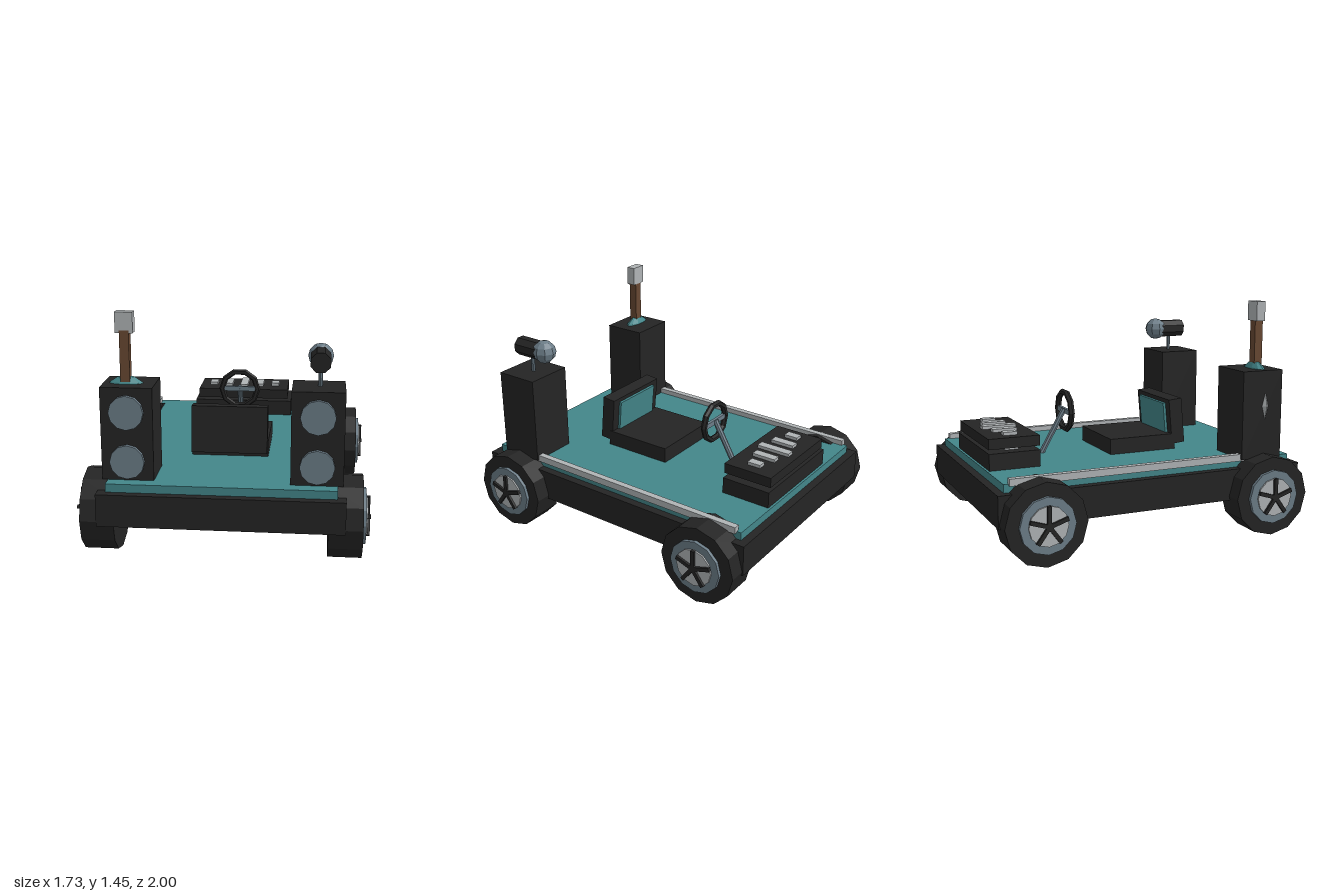
import * as THREE from 'three';

const mat = (name, color) => {
  const m = new THREE.MeshStandardMaterial({ color });
  m.name = name;
  return m;
};

export function createModel() {
  const black = mat('black', 0x242424);
  const teal = mat('teal', 0x43868a);
  const steel = mat('blue grey', 0x6c7d88);
  const silver = mat('light grey', 0xb0b4b6);
  const brown = mat('brown', 0x684832);

  const model = new THREE.Group();
  model.name = 'musicCart';

  // Adds a faceted mesh
  function add(name, geo, material, x, y, z, parent = model) {
    const g = geo.index ? geo.toNonIndexed() : geo;
    g.computeVertexNormals();
    const m = new THREE.Mesh(g, material);
    m.name = name;
    m.position.set(x, y, z);
    parent.add(m);
    return m;
  }
  // Box given by its limits on each axis
  function box(name, material, [x0, x1], [y0, y1], [z0, z1], parent) {
    return add(name, new THREE.BoxGeometry(x1 - x0, y1 - y0, z1 - z0), material,
      (x0 + x1) / 2, (y0 + y1) / 2, (z0 + z1) / 2, parent);
  }
  function group(name, x, y, z) {
    const g = new THREE.Group();
    g.name = name;
    g.position.set(x, y, z);
    model.add(g);
    return g;
  }

  // Chassis, deck and side rails
  box('chassis', black, [-0.72, 0.72], [0.225, 0.42], [-1, 1]);
  box('deck', teal, [-0.67, 0.67], [0.42, 0.47], [-0.95, 0.95]);
  for (const s of [-1, 1]) {
    const rail = box('sideRail', silver, [-0.02, 0.02], [0.46, 0.503], [-0.92, 0.65]);
    rail.position.x = s * 0.67;
  }

  // Wheels: axis along x, outer face towards +x before turning
  for (const s of [-1, 1]) for (const z of [-0.745, 0.745]) {
    const wheel = group('wheel', s * 0.72, 0.25, z);
    if (s < 0) wheel.rotation.y = Math.PI;
    const disc = (name, r, x0, x1, material) =>
      add(name, new THREE.CylinderGeometry(r, r, x1 - x0, 12).rotateZ(-Math.PI / 2),
        material, (x0 + x1) / 2, 0, 0, wheel);
    disc('tyre', 0.25, -0.1, 0.1, black);
    disc('rim', 0.17, 0.09, 0.12, steel);
    disc('hubPlate', 0.12, 0.11, 0.13, silver);
    disc('hubCap', 0.025, 0.12, 0.145, black);
    for (let i = 0; i < 5; i++) {
      const spoke = new THREE.BoxGeometry(0.02, 0.12, 0.024).translate(0, 0.06, 0);
      add('spoke', spoke, black, 0.135, 0, 0, wheel).rotation.x = i * Math.PI * 2 / 5;
    }
  }

  // Speaker towers with two cones each
  for (const s of [-1, 1]) {
    const tower = group('speaker', s * 0.55, 0, 0);
    box('cabinet', black, [-0.153, 0.153], [0.47, 1.025], [0.59, 0.87], tower);
    for (const y of [0.585, 0.88])
      add('speakerCone', new THREE.CylinderGeometry(0.102, 0.102, 0.025, 12).rotateX(Math.PI / 2),
        steel, 0, y, 0.882, tower);
  }

  // Guitar standing in the right speaker
  const guitar = group('guitar', -0.568, 0, 0.75);
  add('lowerBody', new THREE.SphereGeometry(0.158, 8, 6).scale(1, 1, 0.4), silver, 0, 0.8, 0, guitar);
  add('upperBody', new THREE.SphereGeometry(0.135, 10, 8).scale(1, 1, 0.42), teal, 0, 0.937, 0, guitar);
  box('neck', brown, [-0.028, 0.028], [0.95, 1.34], [-0.02, 0.035], guitar);
  box('head', silver, [-0.052, 0.052], [1.325, 1.447], [-0.025, 0.035], guitar);

  // Microphone on the left speaker
  const mic = group('microphone', 0.557, 1.18, 0);
  add('micStand', new THREE.CylinderGeometry(0.013, 0.013, 0.16, 8), steel, 0, -0.09, 0.717, mic);
  add('micBody', new THREE.CylinderGeometry(0.062, 0.062, 0.215, 8)
    .rotateY(Math.PI / 8).rotateX(Math.PI / 2), black, 0, 0, 0.708, mic);
  add('micHead', new THREE.SphereGeometry(0.075, 8, 6), steel, 0, 0, 0.61, mic);

  // Seat facing the back of the cart
  box('seatBase', black, [-0.24, 0.24], [0.47, 0.57], [-0.1, 0.36]);
  const back = group('seatBack', 0, 0.652, 0.375);
  back.rotation.x = -0.09;
  box('backrest', black, [-0.237, 0.237], [-0.147, 0.147], [-0.045, 0.045], back);
  box('backCushion', teal, [-0.18, 0.18], [-0.11, 0.12], [-0.062, -0.044], back);

  // Steering wheel and slanted column
  const steering = group('steering', 0, 0.735, -0.32);
  add('steeringRing', new THREE.TorusGeometry(0.123, 0.02, 6, 10), black, 0, 0, 0, steering);
  box('steeringSpoke', steel, [-0.12, 0.12], [-0.016, 0.016], [-0.01, 0.01], steering);
  const column = new THREE.CylinderGeometry(0.019, 0.019, 0.32, 8).translate(0, -0.16, 0);
  add('steeringColumn', column, steel, 0, 0.01, -0.005, steering).rotation.x = 0.52;

  // Two stacked keyboards with light bars
  const keyboard = (name, halfWidth, y0, y1, z0, z1, step) => {
    const k = group(name, 0, 0, 0);
    box('keyboardCase', black, [-halfWidth, halfWidth], [y0, y1], [z0, z1], k);
    for (let i = -2; i <= 2; i++) {
      const half = 0.11 - Math.abs(i) * 0.033;
      box('keyBar', silver, [i * step - 0.027, i * step + 0.027],
        [y1, y1 + 0.02], [-0.77 - half, -0.77 + half], k);
    }
  };
  keyboard('lowerKeyboard', 0.346, 0.47, 0.573, -0.935, -0.613, 0.122);
  keyboard('upperKeyboard', 0.32, 0.593, 0.658, -0.93, -0.605, 0.113);

  return model;
}
